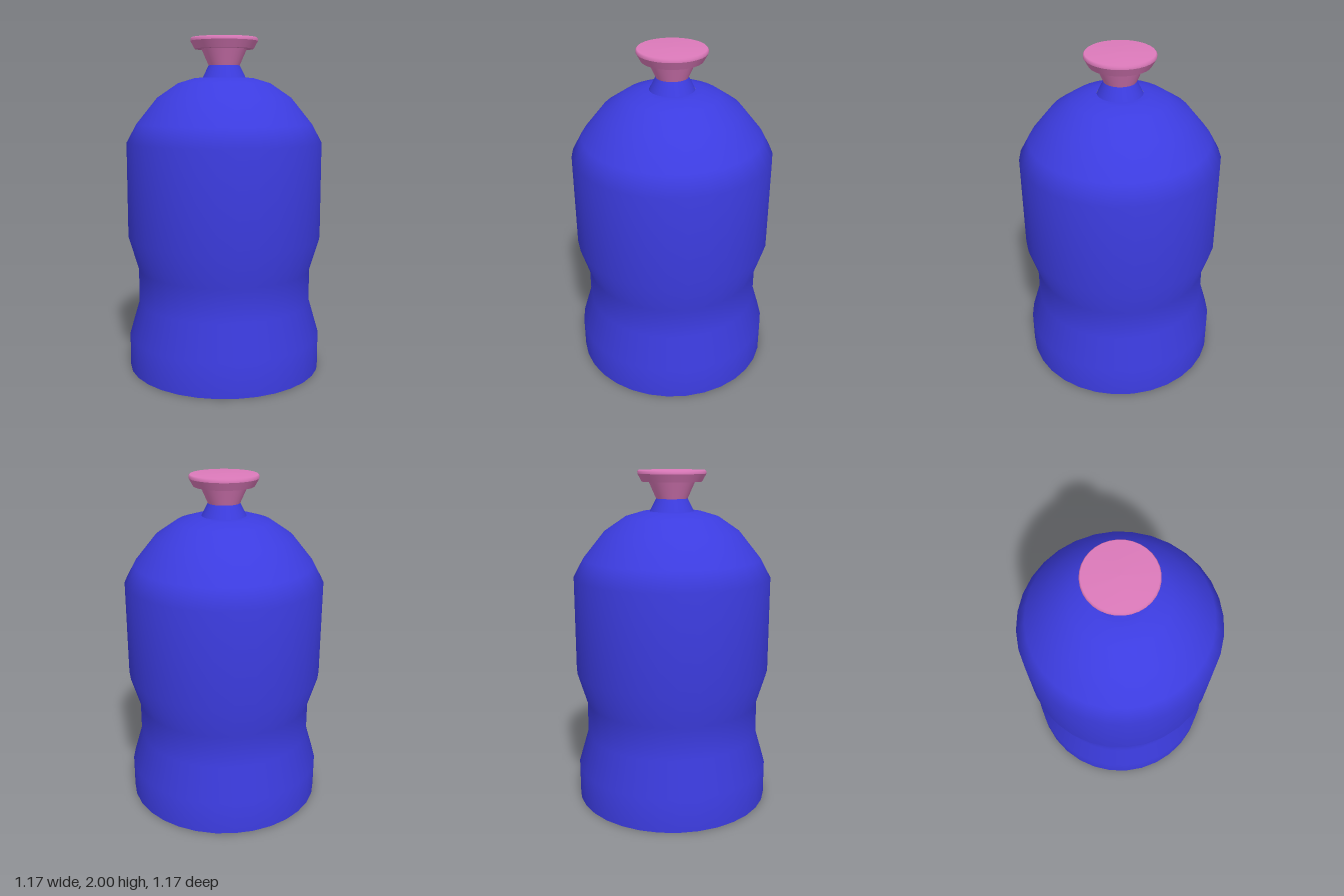
import * as THREE from 'three';

const SIDES = 32;

// Builds one lathe per run of points, so edges are sharp between runs and smooth within them
function turned(name, material, runs) {
  const group = new THREE.Group();
  group.name = name;
  runs.forEach((run, i) => {
    const points = run.map(([r, y]) => new THREE.Vector2(r, y));
    const mesh = new THREE.Mesh(new THREE.LatheGeometry(points, SIDES), material);
    mesh.name = `${name}Surface${i + 1}`;
    group.add(mesh);
  });
  return group;
}

export function createModel() {
  const blue = new THREE.MeshStandardMaterial({ color: 0x3c3ce0 });
  blue.name = 'blue plastic';
  const pink = new THREE.MeshStandardMaterial({ color: 0xdd7abb });
  pink.name = 'pink plastic';

  const model = new THREE.Group();
  model.name = 'bottle';

  // Base with a shallow round recess
  model.add(turned('base', blue, [
    [[0, 0.075], [0.345, 0.075]],
    [[0.345, 0.075], [0.35, 0]],
    [[0.35, 0], [0.585, 0]],
  ]));

  // Waisted body with a rounded shoulder
  model.add(turned('body', blue, [[
    [0.585, 0], [0.585, 0.205], [0.525, 0.41], [0.525, 0.61], [0.585, 0.81],
    [0.585, 1.38], [0.525, 1.49], [0.4, 1.645], [0.275, 1.73], [0.175, 1.76], [0.13, 1.762],
  ]]));

  // Tapered neck
  model.add(turned('neck', blue, [[[0.13, 1.76], [0.092, 1.835]]]));

  // Flared cap: stem, underside, rim and slightly domed top
  model.add(turned('cap', pink, [
    [[0, 1.833], [0.092, 1.833]],
    [[0.092, 1.833], [0.135, 1.93]],
    [[0.135, 1.93], [0.175, 1.93]],
    [[0.175, 1.93], [0.2, 1.975]],
    [[0.2, 1.975], [0.2, 1.988], [0.193, 1.996], [0, 2]],
  ]));

  return model;
}
